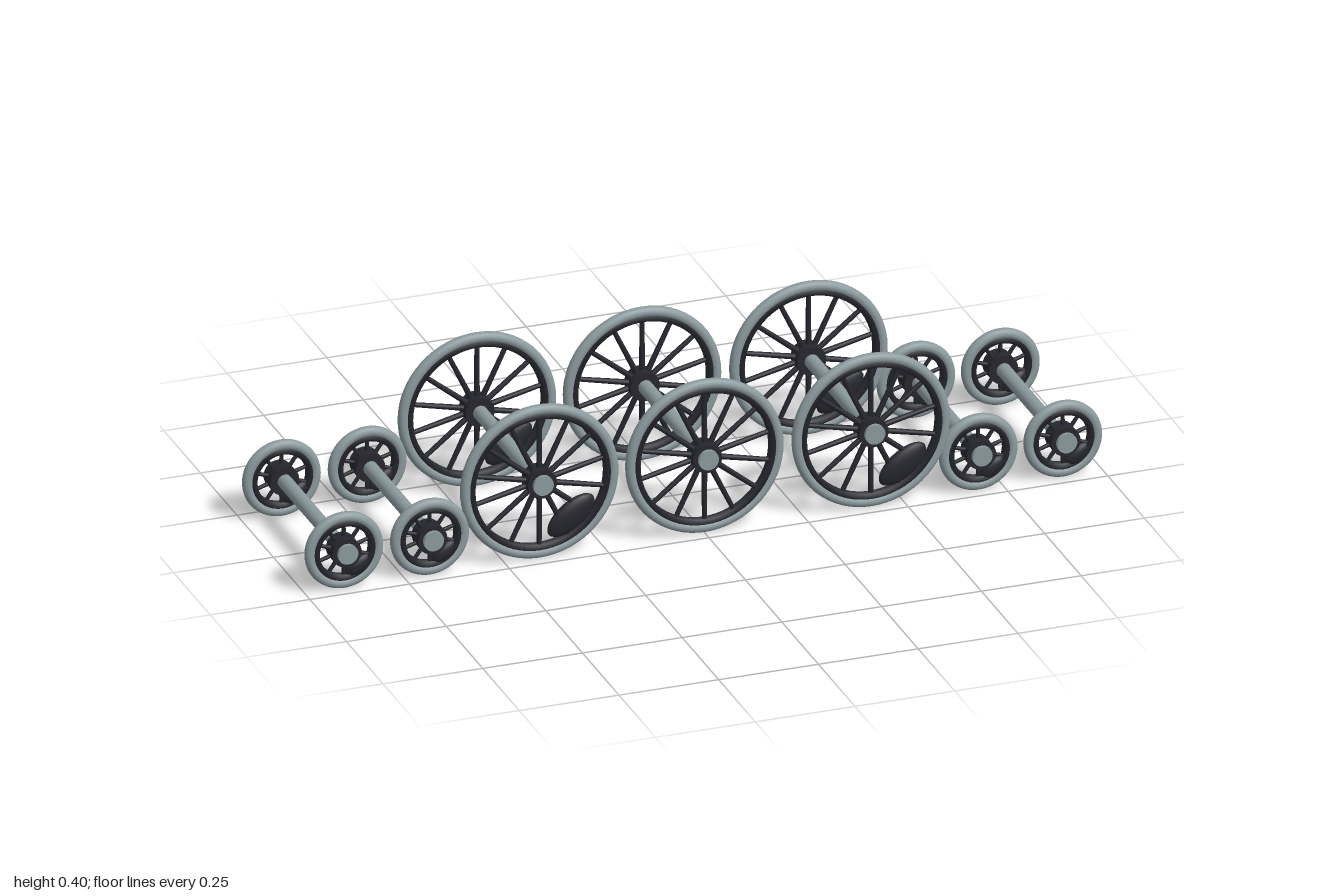
import * as THREE from 'three';

const steel = new THREE.MeshStandardMaterial({ color: 0x8b9a9e });
steel.name = 'steel';
const iron = new THREE.MeshStandardMaterial({ color: 0x26272e });
iron.name = 'darkIron';

const WHEEL_Z = 0.2135; // distance of each wheel from the centre line
const TUBE = 0.013; // tyre tube radius
const HUB_R = 0.0365;

const LARGE = { radius: 0.198, y: 0.2, spokes: 14, spokeR: 0.0065, weight: [0.07, 0.034, 0.017], weightAt: 0.129 };
const SMALL = { radius: 0.098, y: 0.1, spokes: 10, spokeR: 0.005, weight: [0.037, 0.02, 0.016], weightAt: 0.056 };

function add(parent, name, geometry, material) {
  const mesh = new THREE.Mesh(geometry, material);
  mesh.name = name;
  parent.add(mesh);
  return mesh;
}

// Cylinder lying along z
function zCylinder(radius, length) {
  return new THREE.CylinderGeometry(radius, radius, length, 32).rotateX(Math.PI / 2);
}

// Flat ring with square section, turned around z
function rimRing(inner, outer, half) {
  const points = [[inner, -half], [outer, -half], [outer, half], [inner, half], [inner, -half]];
  const ring = new THREE.LatheGeometry(points.map(([r, h]) => new THREE.Vector2(r, h)), 64);
  return ring.rotateX(Math.PI / 2);
}

function createWheel(type, weighted) {
  const wheel = new THREE.Group();
  wheel.name = 'wheel';
  const major = type.radius - TUBE;

  // Tyre and the dark rim inside it
  add(wheel, 'tyre', new THREE.TorusGeometry(major, TUBE, 16, 64), steel);
  const rimInner = major - TUBE - 0.009;
  const rim = add(wheel, 'rim', rimRing(rimInner, major - 0.006, 0.0095), iron);
  rim.material = iron;

  // Spokes from hub to rim
  const start = HUB_R - 0.01;
  const end = rimInner + 0.005;
  for (let i = 0; i < type.spokes; i++) {
    const geometry = new THREE.CylinderGeometry(type.spokeR * 0.9, type.spokeR * 1.1, end - start, 10);
    geometry.translate(0, (start + end) / 2, 0);
    geometry.rotateZ((i / type.spokes) * Math.PI * 2);
    add(wheel, 'spoke', geometry, iron);
  }

  // Hub
  add(wheel, 'hub', zCylinder(HUB_R, 0.046), iron);

  // Rounded counterweight low on one side
  if (weighted) {
    const angle = THREE.MathUtils.degToRad(-52);
    const weight = add(wheel, 'counterweight', new THREE.SphereGeometry(1, 28, 16), iron);
    weight.scale.set(...type.weight);
    weight.rotation.z = angle + Math.PI / 2;
    weight.position.set(Math.cos(angle) * type.weightAt, Math.sin(angle) * type.weightAt, 0);
  }
  return wheel;
}

// Axle with a wheel and an end cap on each side
function createWheelset(name, x, type, weighted) {
  const set = new THREE.Group();
  set.name = name;
  add(set, 'axle', zCylinder(0.0178, 0.44), steel);
  for (const side of [1, -1]) {
    const wheel = createWheel(type, weighted);
    wheel.position.z = side * WHEEL_Z;
    set.add(wheel);
    const cap = add(set, 'axleCap', zCylinder(0.025, 0.03), steel);
    cap.position.z = side * 0.231;
  }
  set.position.set(x, type.y, 0);
  return set;
}

export function createModel() {
  const model = new THREE.Group();
  model.name = 'locomotiveWheels';
  for (const x of [-0.902, -0.687, 0.688, 0.9]) {
    model.add(createWheelset('carryingWheelset', x, SMALL, true));
  }
  for (const x of [-0.412, 0.002, 0.419]) {
    model.add(createWheelset('drivingWheelset', x, LARGE, Math.abs(x) > 0.1));
  }
  return model;
}
